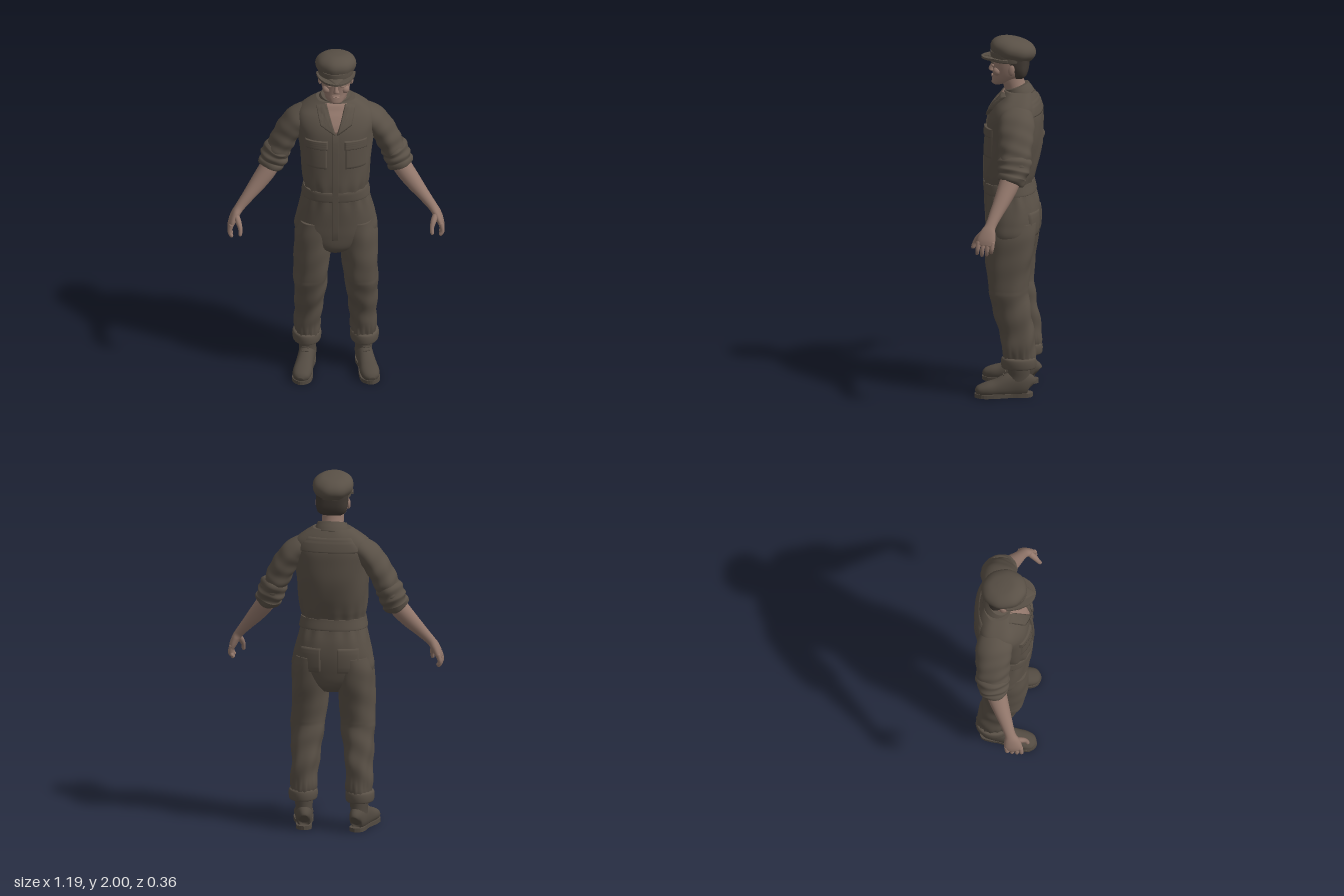
import * as THREE from 'three';

const { sin, cos, abs, sign, min, max, exp, PI } = Math;
const mat = (name, color) => Object.assign(new THREE.MeshStandardMaterial({ color }), { name });

// Catmull-Rom refinement of rows of numbers
function refine(rows, sub) {
  const out = [], last = rows.length - 1;
  const cr = (a, b, c, d, t) =>
    0.5 * (2 * b + (c - a) * t + (2 * a - 5 * b + 4 * c - d) * t * t + (3 * b - a - 3 * c + d) * t ** 3);
  for (let i = 0; i < last; i++) {
    for (let k = 0; k < sub; k++) {
      out.push(rows[i].map((v, n) =>
        cr(rows[max(i - 1, 0)][n], v, rows[i + 1][n], rows[min(i + 2, last)][n], k / sub)));
    }
  }
  out.push(rows[last]);
  return out;
}

// Skin over rings [x, y, z, half width, half depth]; flat rings stay level and run upwards
function loft(rows, { sub = 6, seg = 24, n = 2, flat = false, ref = [0, 0, 1], fold = () => 0 } = {}) {
  const R = refine(rows, sub), pos = [], idx = [], e = 2 / n;
  const at = i => new THREE.Vector3(...R[min(max(i, 0), R.length - 1)].slice(0, 3));
  const up = new THREE.Vector3(...ref);
  R.forEach((r, i) => {
    const T = flat ? new THREE.Vector3(0, 1, 0) : at(i + 1).sub(at(i - 1)).normalize();
    const S = T.clone().cross(up).normalize(), F = S.clone().cross(T);
    for (let j = 0; j < seg; j++) {
      const th = j / seg * 2 * PI, c = cos(th), s = sin(th), f = fold(th, r[1], i / (R.length - 1));
      pos.push(...at(i).addScaledVector(S, sign(c) * abs(c) ** e * (r[3] + f))
        .addScaledVector(F, sign(s) * abs(s) ** e * (r[4] + f)).toArray());
    }
  });
  for (let i = 0; i < R.length - 1; i++) for (let j = 0; j < seg; j++) {
    const a = i * seg + j, c = i * seg + (j + 1) % seg;
    idx.push(a, a + seg, c, c, a + seg, c + seg);
  }
  const end = (R.length - 1) * seg, c0 = R.length * seg;
  pos.push(...at(0).toArray(), ...at(R.length).toArray());
  for (let j = 0; j < seg; j++) {
    const k = (j + 1) % seg;
    idx.push(c0, j, k, c0 + 1, end + k, end + j);
  }
  const g = new THREE.BufferGeometry();
  g.setAttribute('position', new THREE.Float32BufferAttribute(pos, 3));
  g.setIndex(idx);
  g.computeVertexNormals();
  return g;
}

// Level ring from [y, centre x, half width, back z, front z]
const level = ([y, x, a, z0, z1]) => [x, y, (z0 + z1) / 2, a, (z1 - z0) / 2];

const BODY = [
  [0.775, 0, 0.07, -0.08, 0.07], [0.82, 0, 0.15, -0.13, 0.115], [0.90, 0, 0.222, -0.152, 0.13],
  [0.98, 0, 0.217, -0.16, 0.135], [1.06, 0, 0.2, -0.153, 0.14], [1.13, 0, 0.183, -0.135, 0.142],
  [1.18, 0, 0.172, -0.122, 0.144], [1.24, 0, 0.183, -0.137, 0.148], [1.32, 0, 0.192, -0.157, 0.145],
  [1.42, 0, 0.2, -0.173, 0.14], [1.52, 0, 0.212, -0.175, 0.13], [1.58, 0, 0.218, -0.172, 0.113],
  [1.63, 0, 0.205, -0.16, 0.085], [1.67, 0, 0.16, -0.142, 0.052], [1.705, 0, 0.105, -0.12, 0.03],
].map(level);
const BODY_N = 2.4, FINE = refine(BODY, 8);

// Depth of the body surface at (x, y)
function bodyZ(x, y, dir) {
  const r = FINE.reduce((p, q) => abs(q[1] - y) < abs(p[1] - y) ? q : p);
  return r[2] + dir * r[4] * max(0, 1 - min(1, abs(x / r[3])) ** BODY_N) ** (1 / BODY_N);
}

// Padded cloth panel on the body; corners: bottom left, bottom right, top left, top right
function panel([bl, br, tl, tr], lift, dir = 1, N = 14) {
  const g = new THREE.PlaneGeometry(1, 1, N, N), p = g.attributes.position;
  const ease = k => k === 0 ? 0 : k === N ? 1 : 0.02 + 0.96 * (k - 1) / (N - 2);
  for (let k = 0; k < p.count; k++) {
    const i = k % (N + 1), j = Math.floor(k / (N + 1));
    const u = dir > 0 ? ease(i) : 1 - ease(i), v = 1 - ease(j);
    const mix = n => (bl[n] * (1 - u) + br[n] * u) * (1 - v) + (tl[n] * (1 - u) + tr[n] * u) * v;
    const edge = i === 0 || j === 0 || i === N || j === N;
    p.setXYZ(k, mix(0), mix(1), bodyZ(mix(0), mix(1), dir) + dir * (edge ? -0.004 : lift));
  }
  g.computeVertexNormals();
  return g;
}
const rect = (x0, x1, y0, y1) => [[x0, y0], [x1, y0], [x0, y1], [x1, y1]];

export function createModel() {
  const model = new THREE.Group();
  model.name = 'worker';
  const cloth = mat('coverall cloth', 0x595046), skin = mat('skin', 0x92776b);
  const hair = mat('dark hair', 0x3f3832), leather = mat('boot leather', 0x524a41);
  const add = (name, geo, m, parent = model) => {
    const mesh = new THREE.Mesh(geo, m);
    mesh.name = name;
    parent.add(mesh);
    return mesh;
  };
  const ball = (name, m, p, s, parent) => {
    const b = add(name, new THREE.SphereGeometry(1, 16, 12), m, parent);
    b.position.set(...p);
    b.scale.set(...s);
    return b;
  };

  // Coverall body with gathers at the waist
  add('coverallBody', loft(BODY, {
    sub: 8, seg: 80, n: BODY_N, flat: true,
    fold: (th, y) => 0.004 * sin(14 * th) * exp(-(((y - 1.165) / 0.09) ** 2)) + 0.002 * sin(6 * th + 22 * y),
  }), cloth);
  add('waistband', loft([[1.135, 0, 0.188, -0.139, 0.146], [1.145, 0, 0.188, -0.139, 0.149],
    [1.18, 0, 0.181, -0.131, 0.151], [1.195, 0, 0.178, -0.128, 0.149]].map(level),
  { seg: 60, n: BODY_N, flat: true }), cloth);
  add('frontPlacket', panel(rect(-0.022, 0.014, 0.88, 1.57), 0.007), cloth);
  add('backYoke', panel([[-0.18, 1.585], [0.18, 1.585], [-0.12, 1.665], [0.12, 1.665]], 0.004, -1), cloth);

  // Open neck, lapels and collar
  add('openNeck', panel([[-0.004, 1.56], [0.004, 1.56], [-0.06, 1.70], [0.06, 1.70]], 0.009), skin);
  add('collar', loft([[0, 1.672, -0.052, 0.1, 0.082], [0, 1.70, -0.042, 0.093, 0.076],
    [0, 1.728, -0.033, 0.08, 0.066]]), cloth);
  for (const s of [1, -1]) {
    const quad = [[0.002, 1.55], [0.088, 1.605], [0.05, 1.70], [0.108, 1.685]].map(([x, y]) => [s * x, y]);
    add('lapel', panel(s > 0 ? quad : [quad[1], quad[0], quad[3], quad[2]], 0.017), cloth);
    // Pockets
    const pocket = (name, x0, x1, y0, y1, lift, dir) =>
      add(name, panel(s > 0 ? rect(x0, x1, y0, y1) : rect(-x1, -x0, y0, y1), lift, dir), cloth);
    pocket('chestPocket', 0.05, 0.165, 1.345, 1.5, 0.006, 1);
    pocket('pocketFlap', 0.045, 0.17, 1.465, 1.515, 0.013, 1);
    pocket('backPocket', 0.045, 0.165, 0.9, 1.04, 0.007, -1);

    // Trouser leg with soft folds and a rolled cuff
    add('trouserLeg', loft([
      [0.205, 0.156, 0.064, -0.145, 0.025], [0.24, 0.155, 0.07, -0.15, 0.03], [0.3, 0.153, 0.073, -0.15, 0.035],
      [0.4, 0.148, 0.077, -0.14, 0.057], [0.5, 0.143, 0.087, -0.122, 0.087], [0.6, 0.138, 0.094, -0.11, 0.108],
      [0.7, 0.132, 0.098, -0.118, 0.121], [0.8, 0.126, 0.104, -0.135, 0.128], [0.9, 0.119, 0.106, -0.148, 0.128],
      [0.98, 0.11, 0.1, -0.148, 0.125],
    ].map(level).map(r => [s * r[0], ...r.slice(1)]), {
      sub: 10, seg: 48, n: 2.2, flat: true,
      fold: (th, y) => 0.003 * sin(5 * th + 16 * y) + 0.003 * sin(42 * y + 2.5 * sin(th + s)) * (y < 0.6 ? 1 : 0.4)
        + 0.004 * sin(16 * th) * exp(-(((y - 0.24) / 0.04) ** 2)),
    }), cloth);
    add('trouserCuff', loft([[0.163, 0.158, 0.066, -0.143, 0.023], [0.168, 0.158, 0.076, -0.154, 0.034],
      [0.195, 0.158, 0.08, -0.158, 0.038], [0.218, 0.158, 0.077, -0.155, 0.035], [0.226, 0.157, 0.066, -0.145, 0.025],
    ].map(level).map(r => [s * r[0], ...r.slice(1)]), { seg: 36, flat: true }), cloth);

    // Boot
    const boot = new THREE.Group();
    boot.name = 'boot';
    boot.position.set(s * 0.165, 0, 0);
    boot.rotation.y = s * 0.18;
    model.add(boot);
    add('bootUpper', loft([[0, 0.06, -0.13, 0.02, 0.035], [0, 0.068, -0.118, 0.036, 0.055], [0, 0.072, -0.08, 0.046, 0.068],
      [0, 0.066, -0.01, 0.046, 0.066], [0, 0.052, 0.06, 0.05, 0.048], [0, 0.044, 0.115, 0.053, 0.039],
      [0, 0.035, 0.158, 0.042, 0.029], [0, 0.03, 0.178, 0.015, 0.012]], { ref: [0, 1, 0], n: 2.2 }), leather, boot);
    add('bootShaft', loft([[0.06, 0, 0.044, -0.125, 0.02], [0.11, 0, 0.046, -0.122, 0.0],
      [0.15, 0, 0.05, -0.122, -0.002], [0.19, 0, 0.052, -0.124, 0.0]].map(level), { flat: true }), leather, boot);
    const outline = new THREE.Shape(new THREE.SplineCurve([[0, 0.14], [0.036, 0.12], [0.043, 0.07], [0.04, 0.01],
      [0.054, -0.08], [0.048, -0.15], [0, -0.184], [-0.048, -0.15], [-0.054, -0.08], [-0.04, 0.01], [-0.043, 0.07],
      [-0.036, 0.12], [0, 0.14]].map(p => new THREE.Vector2(...p))).getPoints(48));
    add('bootSole', new THREE.ExtrudeGeometry(outline, { depth: 0.022, bevelEnabled: false })
      .rotateX(-PI / 2), leather, boot);
    for (let i = 0; i < 4; i++) {
      const lace = add('lace', new THREE.CapsuleGeometry(0.004, 0.034, 3, 8), leather, boot);
      lace.position.set(0, 0.108 + i * 0.017, 0.035 - i * 0.011);
      lace.rotation.z = PI / 2;
    }

    // Sleeve and its rolled end
    const mir = rows => rows.map(r => [s * r[0], ...r.slice(1)]);
    add('sleeve', loft(mir([[0.14, 1.605, -0.045, 0.058, 0.085], [0.205, 1.562, -0.052, 0.068, 0.1],
      [0.262, 1.485, -0.056, 0.069, 0.096], [0.305, 1.40, -0.055, 0.068, 0.09], [0.338, 1.33, -0.052, 0.062, 0.08]]), {
      sub: 10, seg: 40, fold: (th, y, t) => t * (0.004 * sin(30 * t + 2 * sin(th)) + 0.003 * sin(5 * th + 9 * t)),
    }), cloth);
    add('rolledSleeve', loft(mir([[0.312, 1.392, -0.055, 0.062, 0.084], [0.32, 1.372, -0.055, 0.075, 0.094],
      [0.33, 1.347, -0.053, 0.071, 0.086], [0.338, 1.325, -0.05, 0.08, 0.09], [0.347, 1.303, -0.047, 0.07, 0.078],
      [0.353, 1.288, -0.044, 0.075, 0.08], [0.36, 1.27, -0.042, 0.068, 0.072], [0.363, 1.263, -0.04, 0.054, 0.06]]), {
      sub: 5, seg: 36, fold: (th, y, t) => 0.003 * sin(4 * th + 8 * t),
    }), cloth);

    // Forearm and hand
    add('forearm', loft(mir([[0.33, 1.33, -0.05, 0.048, 0.055], [0.372, 1.255, -0.028, 0.051, 0.055],
      [0.425, 1.185, 0.0, 0.045, 0.046], [0.48, 1.12, 0.03, 0.034, 0.036], [0.528, 1.062, 0.055, 0.026, 0.03],
      [0.55, 1.03, 0.066, 0.024, 0.042], [0.568, 0.992, 0.074, 0.021, 0.05], [0.578, 0.963, 0.078, 0.015, 0.048]]),
    { n: 2.1 }), skin);
    for (let i = 0; i < 4; i++) {
      const z = 0.038 + i * 0.026, len = [0.045, 0.058, 0.062, 0.052][i];
      add('finger', loft(mir([[0.574, 0.985, z, 0.012, 0.013], [0.582, 0.955, z + 0.003, 0.012, 0.0125],
        [0.583, 0.965 - len * 0.6, z + 0.006, 0.011, 0.011], [0.572, 0.968 - len, z + 0.008, 0.009, 0.009],
        [0.568, 0.963 - len, z + 0.008, 0.003, 0.003]]), { sub: 4, seg: 12 }), skin);
    }
    add('thumb', loft(mir([[0.548, 1.03, 0.088, 0.016, 0.018], [0.535, 1.0, 0.12, 0.016, 0.017],
      [0.526, 0.97, 0.14, 0.012, 0.013], [0.527, 0.94, 0.152, 0.01, 0.011], [0.528, 0.932, 0.154, 0.003, 0.003]]),
    { sub: 4, seg: 12 }), skin);

    // Paired face parts
    ball('ear', skin, [s * 0.087, 1.83, -0.012], [0.011, 0.03, 0.018]).rotation.x = -0.15;
    ball('eyebrow', hair, [s * 0.036, 1.862, 0.1], [0.022, 0.005, 0.008]).rotation.y = s * 0.3;
    ball('eyelid', skin, [s * 0.035, 1.845, 0.094], [0.014, 0.008, 0.01]);
    ball('cheekbone', skin, [s * 0.05, 1.815, 0.07], [0.025, 0.024, 0.026]);
  }

  // Neck and head
  add('neck', loft([[0, 1.64, -0.045, 0.075, 0.065], [0, 1.70, -0.03, 0.062, 0.062], [0, 1.76, -0.01, 0.06, 0.062],
    [0, 1.82, 0, 0.06, 0.06]], { flat: true }), skin);
  add('head', loft([[1.732, 0, 0.022, 0.055, 0.095], [1.742, 0, 0.04, 0.02, 0.106], [1.765, 0, 0.06, -0.035, 0.104],
    [1.79, 0, 0.073, -0.07, 0.1], [1.825, 0, 0.081, -0.085, 0.1], [1.86, 0, 0.084, -0.09, 0.102],
    [1.9, 0, 0.084, -0.09, 0.098], [1.94, 0, 0.07, -0.07, 0.08]].map(level), { seg: 36, n: 2.2, flat: true }), skin);
  add('nose', loft([[0, 1.803, 0.096, 0.01, 0.008], [0, 1.81, 0.102, 0.018, 0.018], [0, 1.822, 0.103, 0.013, 0.02],
    [0, 1.845, 0.1, 0.009, 0.012], [0, 1.87, 0.097, 0.008, 0.006]], { seg: 16, flat: true }), skin);
  ball('upperLip', skin, [0, 1.785, 0.098], [0.024, 0.005, 0.011]);
  ball('lowerLip', skin, [0, 1.776, 0.098], [0.02, 0.005, 0.011]);
  add('hair', loft([[1.775, 0, 0.055, -0.075, -0.02], [1.79, 0, 0.076, -0.088, -0.02], [1.82, 0, 0.086, -0.097, -0.012],
    [1.86, 0, 0.089, -0.1, 0.025], [1.9, 0, 0.089, -0.1, 0.035]].map(level), { n: 2.8, flat: true }), hair);

  // Flat cap: band, soft crown and visor
  add('capBand', loft([[1.868, 0, 0.092, -0.106, 0.106], [1.872, 0, 0.096, -0.109, 0.11], [1.9, 0, 0.099, -0.112, 0.114],
    [1.925, 0, 0.1, -0.112, 0.114]].map(level), { seg: 40, flat: true }), cloth);
  const crown = add('capCrown', loft([[0, -0.045, 0, 0.092, 0.106], [0, -0.03, 0, 0.103, 0.117],
    [0, -0.005, -0.002, 0.112, 0.127], [0, 0.02, -0.003, 0.109, 0.123], [0, 0.042, -0.004, 0.092, 0.104],
    [0, 0.058, -0.004, 0.06, 0.07], [0, 0.064, -0.004, 0.015, 0.018]],
  { seg: 48, flat: true, fold: (th, y, t) => 0.002 * sin(8 * th) * (1 - t) }), cloth);
  crown.position.set(0, 1.932, -0.01);
  crown.rotation.x = -0.22;
  const visor = new THREE.Shape();
  visor.absellipse(0, 0, 0.108, 0.163, PI * 1.02, PI * 1.98, false);
  visor.absellipse(0, 0, 0.088, 0.09, PI * 1.98, PI * 1.02, true);
  const visorGeo = new THREE.ExtrudeGeometry(visor, { depth: 0.012, bevelEnabled: false, curveSegments: 32 })
    .rotateX(-PI / 2);
  const vp = visorGeo.attributes.position;
  for (let i = 0; i < vp.count; i++) vp.setY(i, vp.getY(i) - 1.2 * vp.getX(i) ** 2 - 0.15 * max(0, vp.getZ(i) - 0.09));
  visorGeo.computeVertexNormals();
  add('capVisor', visorGeo, cloth).position.y = 1.892;

  model.position.x = 0.008;
  return model;
}
